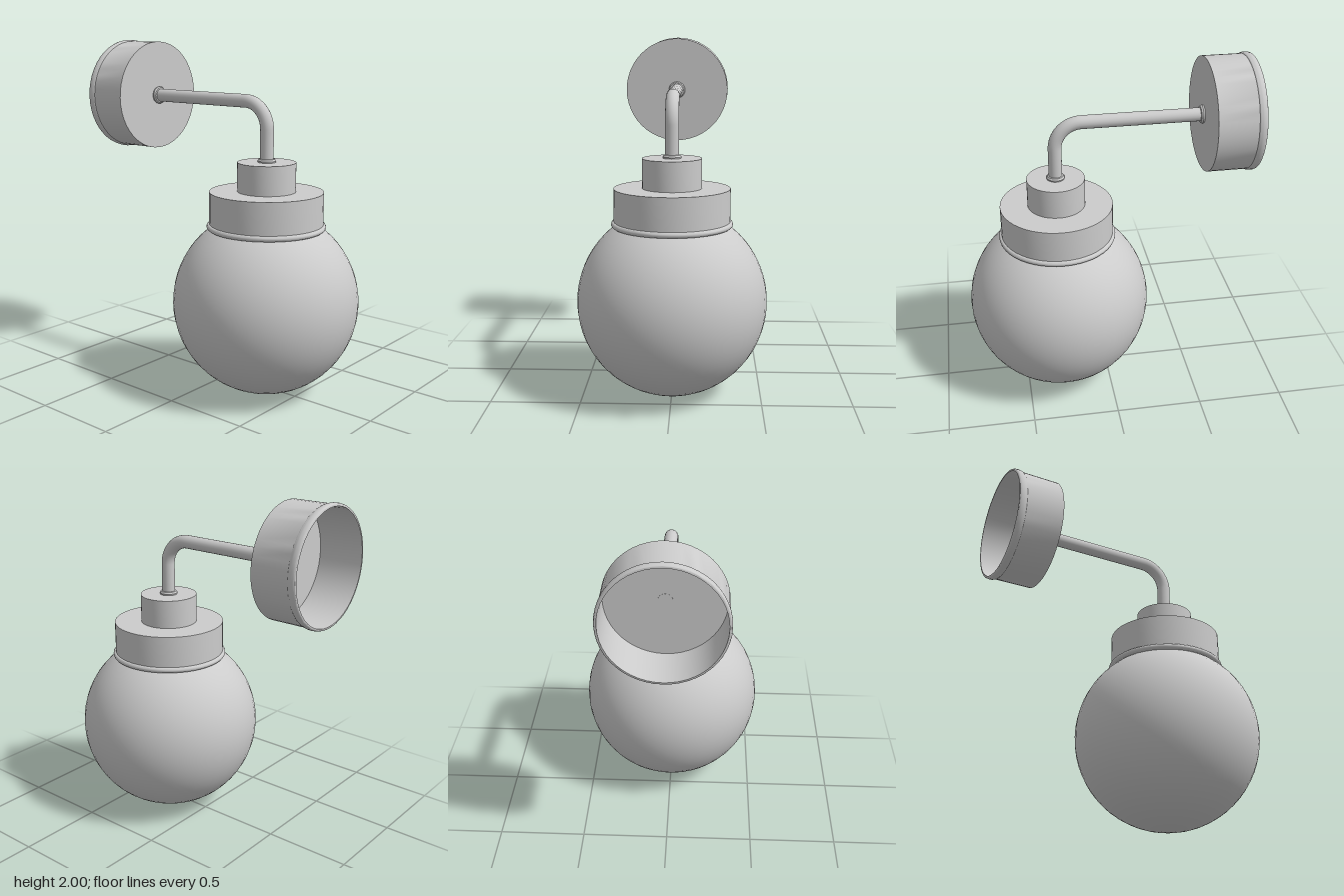
import * as THREE from 'three';
import { toCreasedNormals } from 'three/addons/utils/BufferGeometryUtils.js';

const material = new THREE.MeshStandardMaterial({ color: 0xcccccc });
const AXIS_X = 0.282; // vertical axis of the shade
const ARM_Y = 1.672; // height of the arm and wall cup

function part(name, geometry, x, y) {
  const mesh = new THREE.Mesh(geometry, material);
  mesh.name = name;
  mesh.position.set(x, y, 0);
  return mesh;
}

function turned(points, segments = 48) {
  const profile = points.map(([r, y]) => new THREE.Vector2(r, y));
  return toCreasedNormals(new THREE.LatheGeometry(profile, segments), 0.6);
}

// Hollow drum, open at the bottom, with a rolled bead around its rim
function cup(radius, height, beadRadius, beadHeight) {
  const inner = radius - 0.008;
  const points = [[0, height - 0.008], [inner, height - 0.008], [inner, 0]];
  for (let i = 0; i <= 8; i++) {
    const a = -Math.PI / 2 + (Math.PI * i) / 8;
    points.push([
      radius + (beadRadius - radius) * Math.cos(a),
      (beadHeight / 2) * (1 + Math.sin(a)),
    ]);
  }
  points.push([radius, height], [0, height]);
  return turned(points);
}

// Small flared ring where the arm enters a part
function collar() {
  return turned([[0.036, 0], [0.05, 0], [0.052, 0.01], [0.046, 0.02], [0.036, 0.022]], 24);
}

export function createModel() {
  const group = new THREE.Group();
  group.name = 'wallLamp';

  // Wall cup, open towards the wall
  const wallCup = part('wallCup', cup(0.32, 0.267, 0.328, 0.045), -0.818, ARM_Y);
  wallCup.rotation.z = -Math.PI / 2;
  group.add(wallCup);

  const wallCollar = part('wallCollar', collar(), -0.552, ARM_Y);
  wallCollar.rotation.z = -Math.PI / 2;
  group.add(wallCollar);

  // Arm: straight run, quarter bend, short drop
  const bend = 0.15;
  const k = bend * 0.448;
  const v = (x, y) => new THREE.Vector3(x, y, 0);
  const path = new THREE.CurvePath();
  path.add(new THREE.LineCurve3(v(-0.56, ARM_Y), v(AXIS_X - bend, ARM_Y)));
  path.add(new THREE.CubicBezierCurve3(
    v(AXIS_X - bend, ARM_Y), v(AXIS_X - k, ARM_Y),
    v(AXIS_X, ARM_Y - k), v(AXIS_X, ARM_Y - bend)));
  path.add(new THREE.LineCurve3(v(AXIS_X, ARM_Y - bend), v(AXIS_X, 1.32)));
  group.add(part('arm', new THREE.TubeGeometry(path, 72, 0.038, 20), 0, 0));

  // Lamp holder
  group.add(part('armCollar', collar(), AXIS_X, 1.338));
  group.add(part('socketNeck', turned([[0, 0], [0.165, 0], [0.165, 0.17], [0, 0.17]]), AXIS_X, 1.17));
  group.add(part('shadeCap', cup(0.323, 0.215, 0.338, 0.032), AXIS_X, 0.96));

  // Globe shade
  group.add(part('globe', new THREE.SphereGeometry(0.532, 48, 32), AXIS_X, 0.535));
  return group;
}
